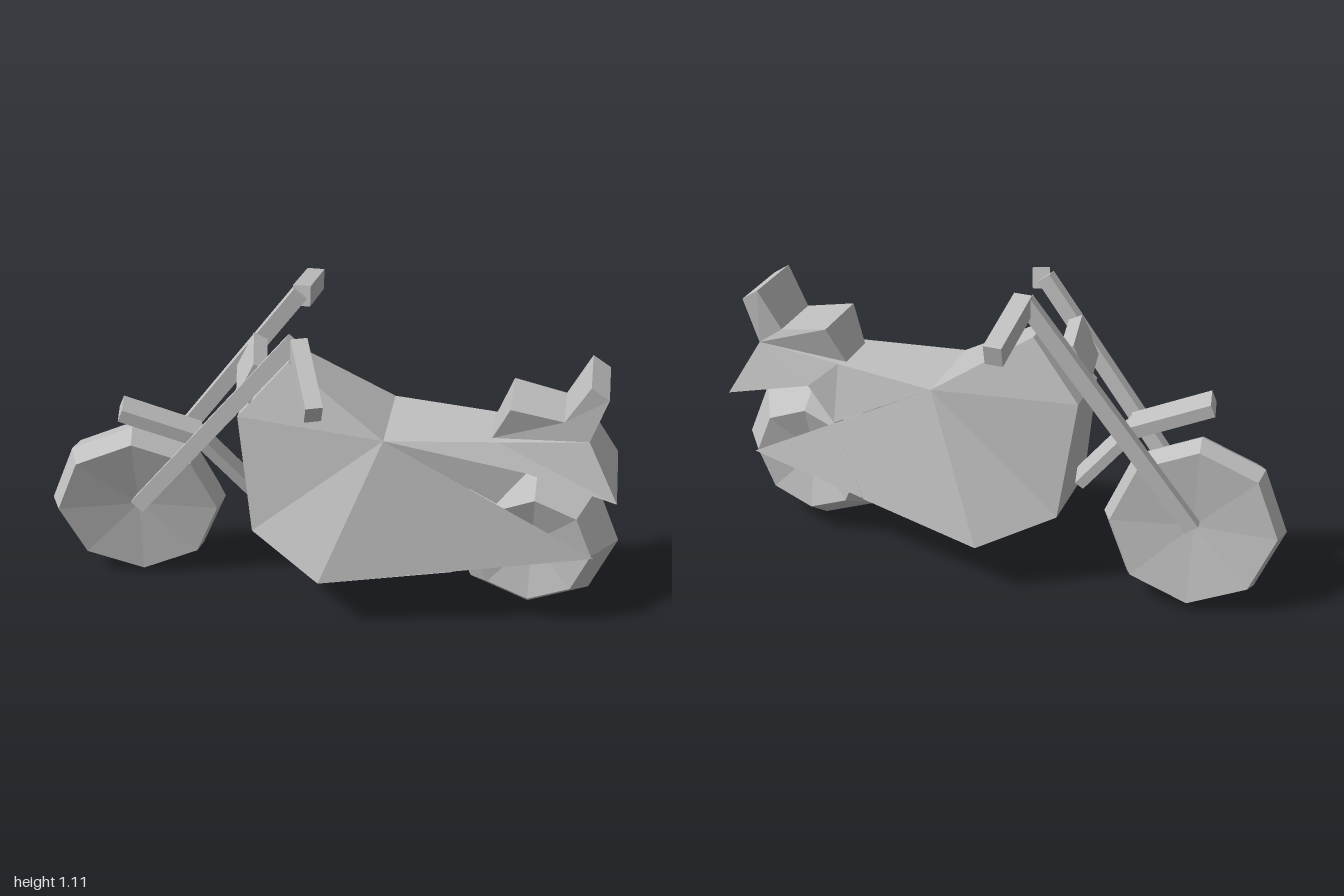
import * as THREE from 'three';

const grey = new THREE.MeshStandardMaterial({ color: 0xc0c0c0, flatShading: true, side: THREE.DoubleSide });
grey.name = 'plain grey';

const mirror = ([x, y, z]) => [x, y, -z];

// Mesh from outward-wound polygons, each split into a fan
function polyMesh(name, polys) {
  const pos = [];
  for (const p of polys) {
    for (let i = 1; i < p.length - 1; i++) pos.push(...p[0], ...p[i], ...p[i + 1]);
  }
  const geo = new THREE.BufferGeometry();
  geo.setAttribute('position', new THREE.Float32BufferAttribute(pos, 3));
  geo.computeVertexNormals();
  const mesh = new THREE.Mesh(geo, grey);
  mesh.name = name;
  return mesh;
}

// Symmetric shell: side panels mirrored in z, joined across by a strip along the loop
function shell(name, sides, loop) {
  const polys = [];
  for (const s of sides) polys.push(s, s.map(mirror).reverse());
  loop.forEach((p, i) => {
    const q = loop[(i + 1) % loop.length];
    polys.push([q, p, mirror(p), mirror(q)]);
  });
  return polyMesh(name, polys);
}

// Box running from a to b
function bar(name, a, b, width, height) {
  const from = new THREE.Vector3(...a), to = new THREE.Vector3(...b);
  const mesh = new THREE.Mesh(new THREE.BoxGeometry(width, height, from.distanceTo(to)), grey);
  mesh.position.copy(from).lerp(to, 0.5);
  mesh.lookAt(to);
  mesh.name = name;
  return mesh;
}

// Eight-sided wheel with a ridged tread and dished sides
function wheel(name, ridge, rim, half, hub) {
  const profile = [[0, -hub], [rim, -half], [ridge, 0], [rim, half], [0, hub]]
    .map(([r, y]) => new THREE.Vector2(r, y));
  const geo = new THREE.LatheGeometry(profile, 8);
  geo.rotateX(Math.PI / 2);
  const mesh = new THREE.Mesh(geo, grey);
  mesh.name = name;
  return mesh;
}

export function createModel() {
  const model = new THREE.Group();
  model.name = 'motorcycle';

  // Body: tank, flared lower panels, rear arms and tail
  const tankTop = [-0.13, 0.93, 0.065], neck = [-0.30, 0.73, 0.10], chin = [-0.25, 0.31, 0.15];
  const belly = [0, 0.20, 0.27], armTip = [0.915, 0.305, 0.12], waist = [0.20, 0.715, 0.155];
  const bellyRear = [0.45, 0.25, 0.197], arch = [0.58, 0.50, 0.136], deck = [0.57, 0.715, 0.10];
  const tailInner = [0.67, 0.63, 0.14], tailTop = [0.865, 0.75, 0.11], tailEnd = [0.97, 0.56, 0.17];
  model.add(shell('body', [
    [waist, tankTop, neck], [waist, neck, chin], [waist, chin, belly], [waist, belly, armTip],
    [waist, arch, tailInner, deck], [deck, tailInner, tailEnd, tailTop],
  ], [tankTop, neck, chin, belly, bellyRear, arch, tailInner, tailEnd, tailTop, deck, waist]));

  // Seat and backrest
  const seat = [[0.55, 0.715, 0.075], [0.865, 0.75, 0.11], [0.78, 0.81, 0.10], [0.605, 0.845, 0.11]];
  const rest = [[0.78, 0.81, 0.10], [0.865, 0.75, 0.11], [0.915, 0.91, 0.115], [0.855, 0.95, 0.115]];
  model.add(shell('seat', [seat], seat), shell('backrest', [rest], rest));

  // Wheels: the front one is steered about the fork axis
  const rear = wheel('rearWheel', 0.29, 0.20, 0.115, 0.06);
  rear.position.set(0.705, 0.31, 0);
  const front = wheel('frontWheel', 0.307, 0.28, 0.07, 0.04);
  front.position.set(-0.69, 0.31, 0);
  const steer = new THREE.Vector3(0.58, 0.81, 0).normalize();
  front.quaternion.setFromAxisAngle(steer, 0.2);
  model.add(rear, front);

  // Forks and handlebars
  model.add(
    bar('forkLeft', [-0.67, 0.33, 0.085], [-0.095, 1.05, 0.145], 0.035, 0.055),
    bar('forkRight', [-0.70, 0.33, -0.075], [-0.125, 1.09, -0.135], 0.035, 0.055),
    bar('handlebarLeft', [-0.08, 1.04, 0.15], [0.01, 0.925, 0.385], 0.055, 0.07),
    bar('handlebarRight', [-0.12, 1.08, -0.13], [-0.12, 1.02, -0.40], 0.06, 0.07),
  );

  // Cross block between the forks
  const block = new THREE.Mesh(new THREE.BoxGeometry(0.05, 0.14, 0.23), grey);
  block.name = 'forkClamp';
  block.position.set(-0.265, 0.87, 0.01);
  block.rotation.set(0, 0.2, -0.45);
  model.add(block);

  // Front mudguard: two plates bent over the wheel
  model.add(
    bar('mudguardFront', [-0.705, 0.717, 0.09], [-0.45, 0.61, 0.035], 0.105, 0.045),
    bar('mudguardRear', [-0.46, 0.615, 0.035], [-0.285, 0.395, -0.01], 0.105, 0.035),
  );
  return model;
}
